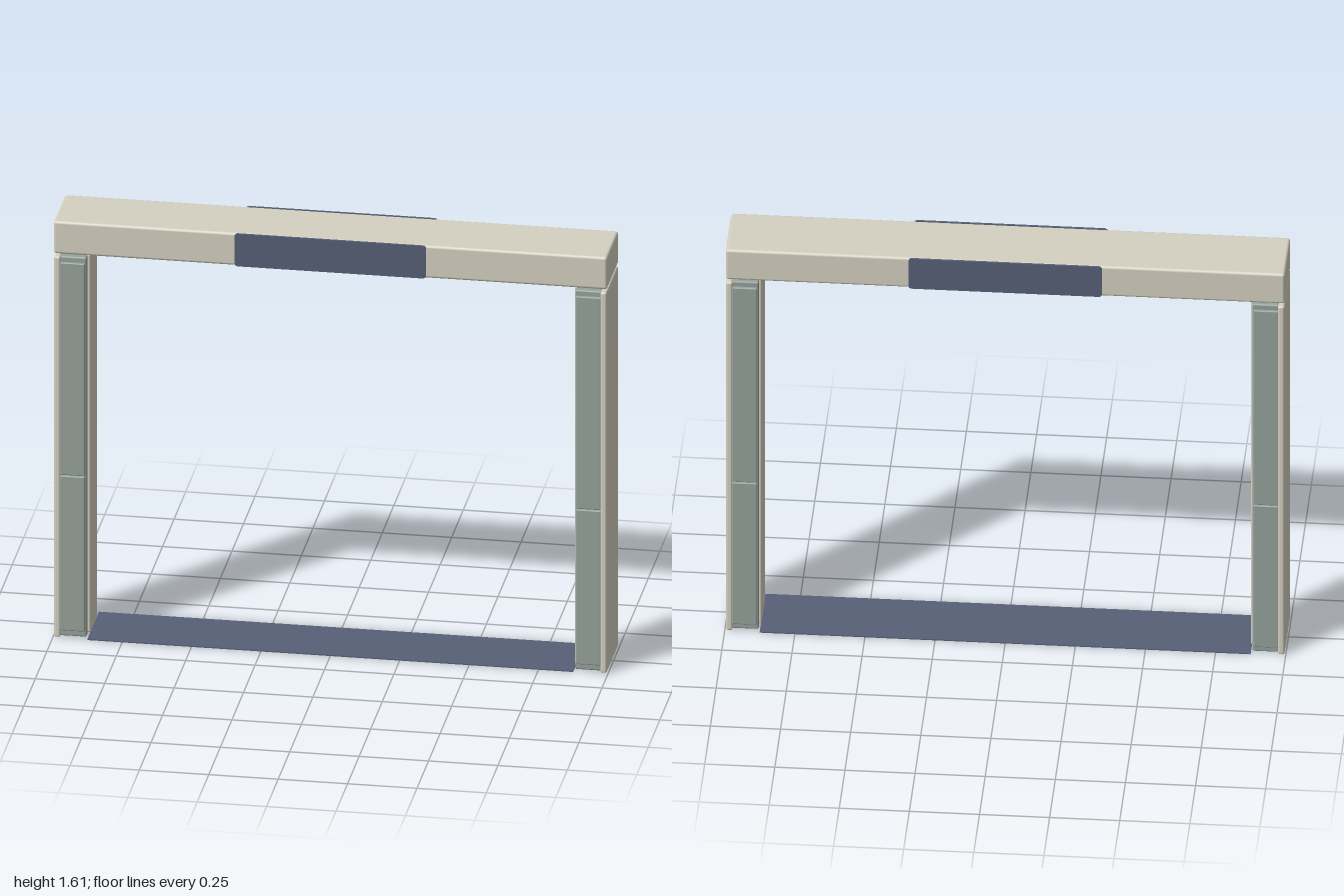
import * as THREE from 'three';
import { RoundedBoxGeometry } from 'three/addons/geometries/RoundedBoxGeometry.js';

export function createModel() {
  const group = new THREE.Group();
  const material = (name, color) => {
    const m = new THREE.MeshStandardMaterial({ color });
    m.name = name;
    return m;
  };
  const cream = material('cream', 0xd5d1c1);
  const sage = material('sage', 0x97a39c);
  const slate = material('slate', 0x566076);

  // Softly rounded block given by its min and max along each axis
  const block = (parent, name, mat, [x0, x1], [y0, y1], [z0, z1], r = 0.008) => {
    const geo = new RoundedBoxGeometry(x1 - x0, y1 - y0, z1 - z0, 2, r);
    const mesh = new THREE.Mesh(geo, mat);
    mesh.name = name;
    mesh.position.set((x0 + x1) / 2, (y0 + y1) / 2, (z0 + z1) / 2);
    parent.add(mesh);
    return mesh;
  };

  // Vertical range from inner to outer x, mirrored to the given side
  const across = (side, inner, outer) => (side > 0 ? [inner, outer] : [-outer, -inner]);

  // Side posts
  for (const side of [-1, 1]) {
    const post = new THREE.Group();
    post.name = side > 0 ? 'leftPost' : 'rightPost';
    group.add(post);
    block(post, 'outerPanel', cream, across(side, 0.972, 0.996), [0.003, 1.475], [-0.126, 0.126]);
    block(post, 'innerPanel', cream, across(side, 0.872, 0.98), [0.008, 1.47], [-0.075, 0.075], 0.006);
    block(post, 'topSpacer', sage, across(side, 0.9, 0.975), [1.45, 1.49], [-0.09, 0.09], 0.004);

    // Front and back edge columns with a two-part cover
    for (const end of [-1, 1]) {
      const along = (a, b) => across(end, a, b);
      block(post, 'edgeColumn', sage, across(side, 0.88, 0.976), [0.006, 1.473], along(0.082, 0.114), 0.006);
      block(post, 'columnBacking', sage, across(side, 0.888, 0.976), [0.012, 1.466], along(0.06, 0.09), 0.004);
      block(post, 'lowerCover', sage, across(side, 0.885, 0.974), [0.03, 0.628], along(0.108, 0.124), 0.004);
      block(post, 'upperCover', sage, across(side, 0.885, 0.974), [0.631, 1.452], along(0.108, 0.124), 0.004);
    }
  }

  // Top beam
  block(group, 'topBeam', cream, [-0.997, 0.997], [1.485, 1.61], [-0.124, 0.124], 0.01);

  // Display plates with rounded corners on both faces of the beam
  const w = 0.345, h = 0.0625, r = 0.012;
  const outline = new THREE.Shape();
  outline.absarc(w - r, h - r, r, 0, Math.PI / 2);
  outline.absarc(-w + r, h - r, r, Math.PI / 2, Math.PI);
  outline.absarc(-w + r, -h + r, r, Math.PI, Math.PI * 1.5);
  outline.absarc(w - r, -h + r, r, Math.PI * 1.5, Math.PI * 2);
  const plateGeo = new THREE.ExtrudeGeometry(outline, { depth: 0.008, bevelEnabled: false, curveSegments: 4 });
  for (const end of [-1, 1]) {
    const plate = new THREE.Mesh(plateGeo, slate);
    plate.name = end > 0 ? 'frontDisplay' : 'backDisplay';
    plate.position.set(0, 1.5475, end * 0.121);
    if (end < 0) plate.rotation.y = Math.PI;
    group.add(plate);
  }

  // Thin floor strip between the posts
  const floor = new THREE.Mesh(new THREE.BoxGeometry(1.75, 0.004, 0.25), slate);
  floor.name = 'floorStrip';
  floor.position.y = 0.002;
  group.add(floor);

  return group;
}
